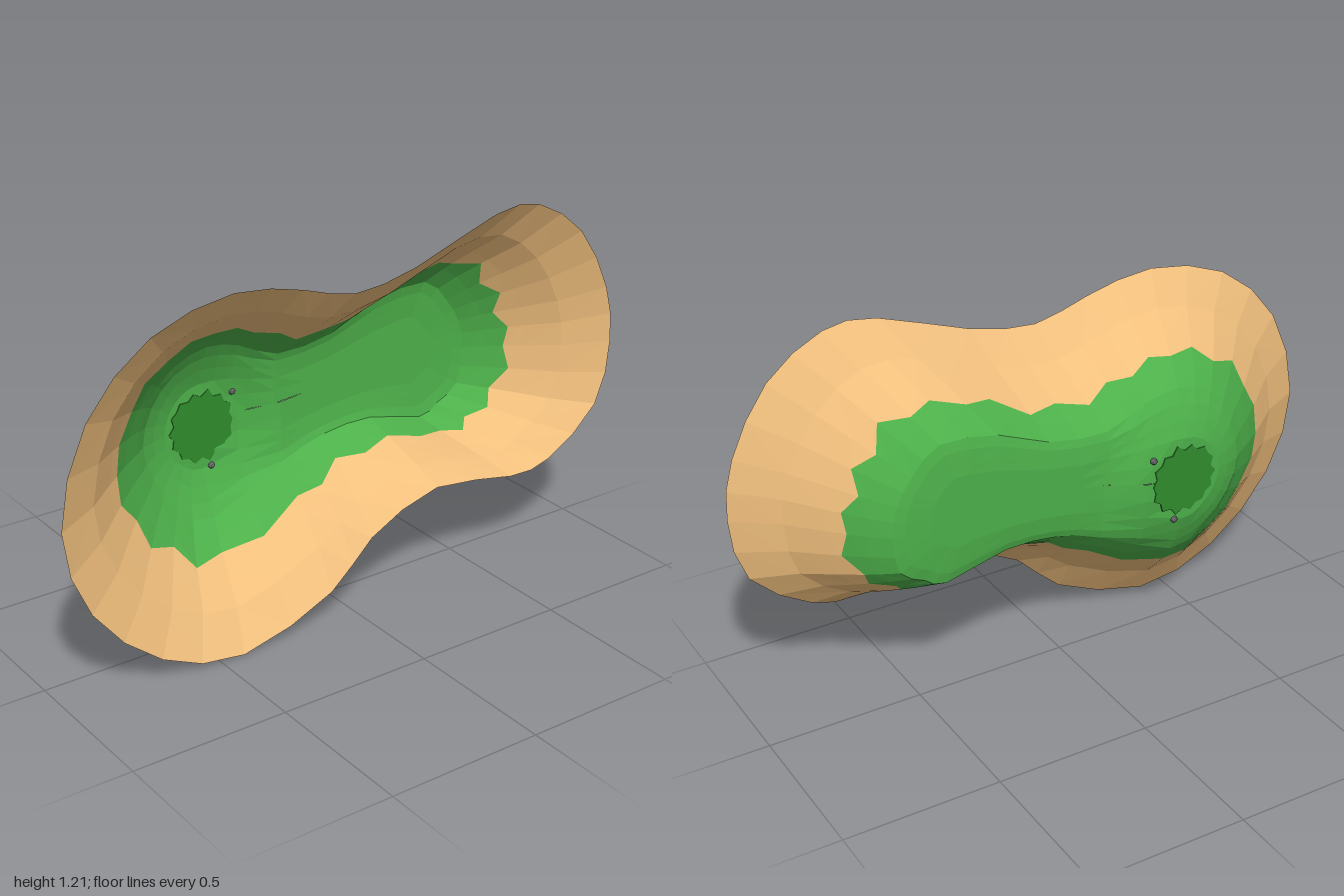
import * as THREE from 'three';

const V = (x, y) => new THREE.Vector3(x, y, 0);

// Outer rim of the shell and the matching edge of its raised crown
const RIM = [[-1, .58], [-.91, .88], [-.7, 1.08], [-.43, 1.15], [-.2, 1.11], [-.02, 1.06], [.2, 1.095],
  [.5, 1.2], [.67, 1.2], [.85, 1.08], [.97, .87], [1, .68], [.95, .47], [.76, .325], [.6, .305],
  [.3, .35], [.05, .25], [-.1, .11], [-.42, 0], [-.7, .08], [-.92, .3]];
const CROWN = [[-.6, .6], [-.56, .74], [-.47, .84], [-.35, .88], [-.24, .86], [-.1, .8], [.1, .82],
  [.27, .89], [.46, .91], [.55, .83], [.6, .75], [.62, .65], [.6, .53], [.52, .48], [.45, .45],
  [.25, .5], [.07, .49], [-.08, .44], [-.34, .32], [-.47, .37], [-.56, .47]];
const N = RIM.length * 2;
const PEAK = V(-.34, .6);

let seed = 7;
const rand = () => (seed = (seed * 16807) % 2147483647) / 2147483647;

// Piecewise linear lookup
function lookup(table, t) {
  for (let i = 1; i < table.length; i++) {
    const [a, za] = table[i - 1], [b, zb] = table[i];
    if (t <= b) return za + (zb - za) * Math.max(0, (t - a) / (b - a));
  }
  return table[table.length - 1][1];
}
const SLOPE = [[0, .172], [.36, .092], [.63, 0], [.8, -.055], [1, -.11]];
const DOME = [[0, -.17], [.14, -.17], [.19, -.153], [.24, -.132], [.31, -.115], [.4, 0]];

function sample(points) {
  const curve = new THREE.CatmullRomCurve3(points.map(p => V(...p)), true, 'catmullrom', .5);
  return Array.from({ length: N }, (_, i) => curve.getPoint(i / N));
}

// Joins closed rings of N points into a faceted surface
function loft(name, rings, color) {
  const index = [];
  for (let r = 0; r < rings.length - 1; r++) {
    for (let i = 0; i < N; i++) {
      const j = (i + 1) % N;
      const a = r * N + i, b = r * N + j, c = b + N, d = a + N;
      index.push(a, b, c, a, c, d);
    }
  }
  const geo = new THREE.BufferGeometry().setFromPoints(rings.flat());
  geo.setIndex(index);
  geo.computeVertexNormals();
  const mesh = new THREE.Mesh(geo, new THREE.MeshStandardMaterial({
    color, flatShading: true, side: THREE.DoubleSide }));
  mesh.name = name;
  return mesh;
}

export function createModel() {
  const group = new THREE.Group();
  group.name = 'island';
  const rim = sample(RIM), crown = sample(CROWN);

  // Ring on the sloping wall: t = 0 at the rim, 1 at the crown
  const wall = tAt => rim.map((p, i) => {
    const t = tAt(i), q = p.clone().lerp(crown[i], t);
    q.z = lookup(SLOPE, t) + .005 * p.x * (1 - t);
    return q;
  });
  // Ring on the top, shrinking from the crown to a spine line
  const top = u => crown.map(p => {
    const x = THREE.MathUtils.clamp(p.x, PEAK.x, .38);
    const q = p.clone().lerp(V(x, .6 + (x - PEAK.x) * .12), u);
    const dome = lookup(DOME, Math.hypot(q.x - PEAK.x, q.y - PEAK.y));
    const ridge = -.115 - .01 * Math.min(1, u * 2);
    q.z = Math.min(dome, q.x > -.12 ? ridge : -.11);
    return q;
  });

  // Jagged line where sand meets grass
  const jag = rim.map((_, i) => (i % 2 ? .65 : .72) + rand() * .05);
  const edge = wall(i => jag[i]);
  group.add(loft('sandSlope', [wall(() => 0), wall(() => .36), wall(() => .6), edge], 0xf0bf7d));
  group.add(loft('grassTop', [edge, wall(() => .84), wall(() => 1),
    ...[.15, .32, .5, .75, 1].map(top)], 0x4db04a));

  // Ragged dark patch at the peak
  const shape = new THREE.Shape();
  for (let i = 0; i < 28; i++) {
    const a = i / 28 * Math.PI * 2, r = (i % 2 ? .098 : .11) + rand() * .012;
    shape[i ? 'lineTo' : 'moveTo'](PEAK.x + r * Math.cos(a), PEAK.y + r * Math.sin(a));
  }
  const patch = new THREE.Mesh(
    new THREE.ExtrudeGeometry(shape, { depth: .006, bevelEnabled: false }),
    new THREE.MeshStandardMaterial({ color: 0x308c2d, flatShading: true }));
  patch.name = 'darkPatch';
  patch.position.z = -.173;
  group.add(patch);

  // Two small stones beside the patch
  for (const [x, y] of [[-.23, .69], [-.31, .465]]) {
    const stone = new THREE.Mesh(new THREE.IcosahedronGeometry(.011, 1),
      new THREE.MeshStandardMaterial({ color: 0x666666, flatShading: true }));
    stone.name = 'stone';
    stone.position.set(x, y, -.168);
    group.add(stone);
  }
  return group;
}
